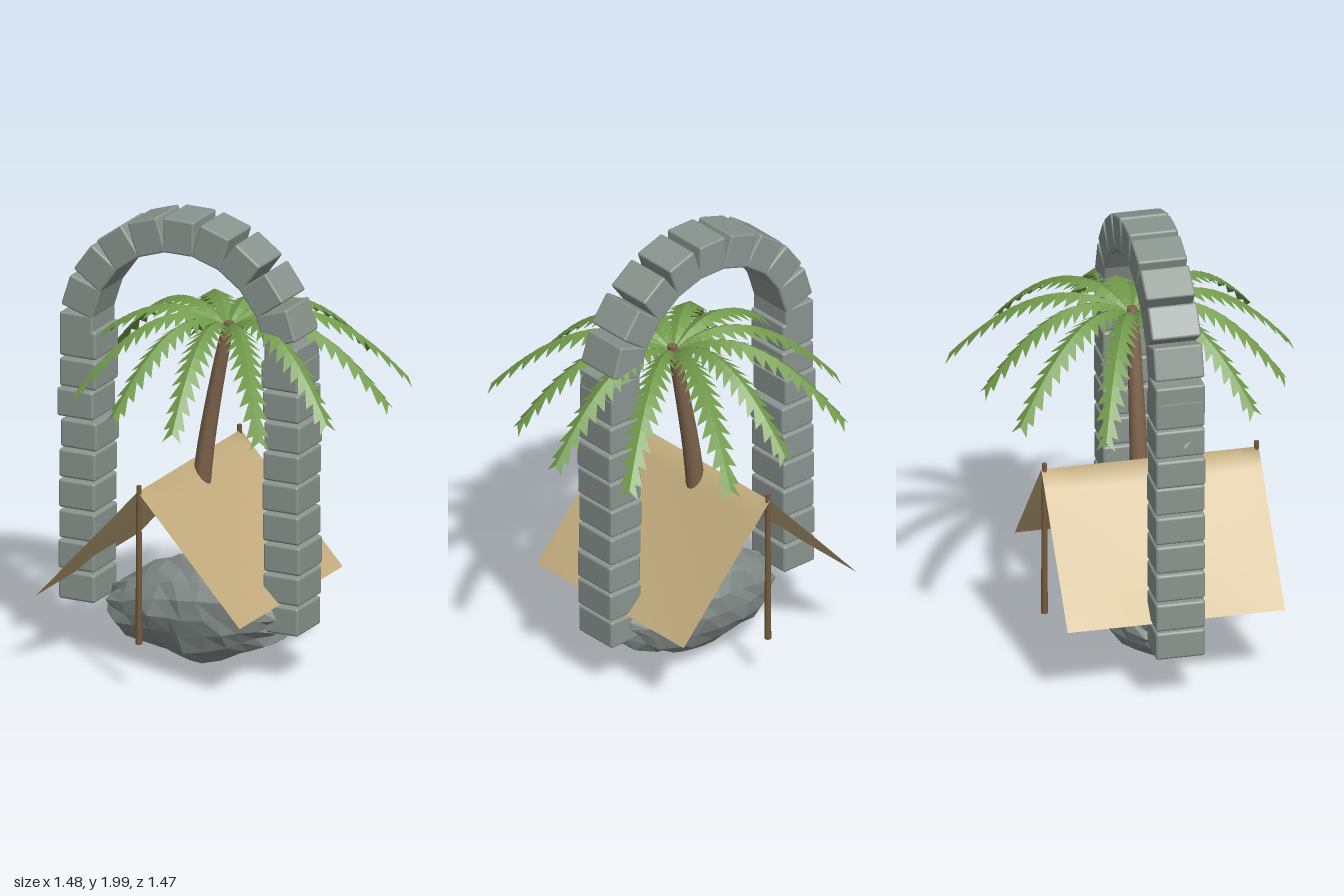
import * as THREE from 'three';
import { RoundedBoxGeometry } from 'three/addons/geometries/RoundedBoxGeometry.js';

const mat = (name, color, side = THREE.FrontSide) => {
  const m = new THREE.MeshStandardMaterial({ color, side });
  m.name = name;
  return m;
};

// Repeatable noise in -1..1
const noise = (i, j) => {
  const s = Math.sin(i * 127.1 + j * 311.7) * 43758.5453;
  return (s - Math.floor(s)) * 2 - 1;
};

function add(parent, name, geometry, material, x = 0, y = 0, z = 0) {
  const mesh = new THREE.Mesh(geometry, material);
  mesh.name = name;
  mesh.position.set(x, y, z);
  parent.add(mesh);
  return mesh;
}

function flatGeometry(points, index) {
  let g = new THREE.BufferGeometry();
  g.setAttribute('position', new THREE.Float32BufferAttribute(points, 3));
  if (index) {
    g.setIndex(index);
    g = g.toNonIndexed();
  }
  g.computeVertexNormals();
  return g;
}

// Stone arch: two stacked columns and a half ring of tilted blocks
function buildArch(stone) {
  const arch = new THREE.Group();
  arch.name = 'stoneArch';
  const z = 0.037;
  const columnBlock = new RoundedBoxGeometry(0.173, 0.126, 0.215, 2, 0.012);
  const leftX = [0.32, 0.325, 0.328, 0.323, 0.32, 0.325, 0.33, 0.323, 0.317];
  const rightX = [-0.65, -0.653, -0.648, -0.65, -0.648, -0.64, -0.658, -0.645, -0.645];
  for (let i = 0; i < 9; i++) {
    const y = 0.288 + i * 0.1356;
    add(arch, 'leftColumnBlock', columnBlock, stone, leftX[i], y, z);
    add(arch, 'rightColumnBlock', columnBlock, stone, rightX[i], y, z);
  }
  const ringBlock = new RoundedBoxGeometry(0.145, 0.155, 0.215, 2, 0.01);
  for (let i = -5; i <= 5; i++) {
    const a = (i * Math.PI) / 10;
    const block = add(arch, 'archBlock', ringBlock, stone,
      -0.165 + 0.488 * Math.sin(a), 1.433 + 0.488 * Math.cos(a), z);
    block.rotation.z = -a;
  }
  return arch;
}

// Boulder lofted along x; each section is [x, bottom, top, half depth]
function buildBoulder() {
  const sections = [
    [-0.545, 0.2, 0.23, 0.03], [-0.5, 0.14, 0.3, 0.1], [-0.42, 0.08, 0.36, 0.16],
    [-0.33, 0.06, 0.42, 0.2], [-0.25, 0.045, 0.465, 0.225], [-0.17, 0.03, 0.49, 0.235],
    [-0.09, 0.01, 0.505, 0.24], [0, 0.03, 0.51, 0.24], [0.08, 0.06, 0.505, 0.23],
    [0.16, 0.09, 0.485, 0.205], [0.23, 0.13, 0.43, 0.165], [0.285, 0.18, 0.385, 0.11],
    [0.31, 0.27, 0.35, 0.05],
  ];
  const sides = 18;
  const points = [];
  const index = [];
  sections.forEach(([x, low, high, depth], i) => {
    const inner = i > 0 && i < sections.length - 1;
    for (let j = 0; j < sides; j++) {
      const a = (j / sides) * Math.PI * 2;
      const r = 0.97 + 0.06 * noise(i, j);
      points.push(
        x + (inner ? 0.028 * noise(j + 31, i) : 0),
        Math.max(0, (low + high) / 2 + (Math.sin(a) * r * (high - low)) / 2),
        0.03 + Math.cos(a) * r * depth);
    }
  });
  const last = sections.length - 1;
  for (let i = 0; i < last; i++) {
    for (let j = 0; j < sides; j++) {
      const a = i * sides + j;
      const b = i * sides + ((j + 1) % sides);
      index.push(a, a + sides, b, b, a + sides, b + sides);
    }
  }
  // End caps
  for (let j = 1; j < sides - 1; j++) {
    index.push(0, j, j + 1);
    index.push(last * sides, last * sides + j + 1, last * sides + j);
  }
  return flatGeometry(points, index);
}

// Leaning, tapered trunk: a cylinder bent along a curve
function buildTrunk() {
  const path = new THREE.CatmullRomCurve3([
    [-0.165, 0.3], [-0.153, 0.5], [-0.112, 0.92], [-0.065, 1.2], [-0.012, 1.46], [0.005, 1.53],
  ].map(([x, y]) => new THREE.Vector3(x, y, 0)));
  const g = new THREE.CylinderGeometry(0.022, 0.05, 1, 14, 16);
  const p = g.attributes.position;
  for (let i = 0; i < p.count; i++) {
    const c = path.getPoint(THREE.MathUtils.clamp(p.getY(i) + 0.5, 0, 1));
    p.setXYZ(i, p.getX(i) + c.x, c.y, p.getZ(i));
  }
  g.computeVertexNormals();
  return g;
}

// Arched frond along +x with paired, drooping, forward-pointing leaflets
function buildFrond(length) {
  const spine = new THREE.QuadraticBezierCurve3(
    new THREE.Vector3(0, 1.5, 0),
    new THREE.Vector3(length * 0.43, 1.75, 0),
    new THREE.Vector3(length - 0.015, 1.25, 0));
  const count = 15;
  const points = [];
  for (let i = 0; i < count; i++) {
    const t = i / count;
    const a = spine.getPoint(t);
    const b = spine.getPoint(Math.min(1, (i + 1.6) / count));
    const dir = spine.getTangent(Math.min(1, (i + 1) / count));
    const width = 0.035 + 0.04 * Math.sin(Math.PI * Math.min(1, t * 0.8 + 0.2));
    const tip = spine.getPoint((i + 1) / count).addScaledVector(dir, i === count - 1 ? 0.015 : 0.04);
    tip.y -= width * 0.55;
    points.push(...a, tip.x, tip.y, width, ...b);
    points.push(...a, ...b, tip.x, tip.y, -width);
  }
  return flatGeometry(points);
}

// Canvas draped over a ridge, sagging slightly on both slopes
function buildCanvas() {
  const g = new THREE.PlaneGeometry(2, 1, 16, 8);
  const p = g.attributes.position;
  for (let i = 0; i < p.count; i++) {
    const u = p.getX(i);
    const v = p.getY(i) + 0.5;
    const sag = 0.025 * Math.sin(Math.PI * Math.abs(u)) * Math.sin(Math.PI * v);
    p.setXYZ(i, -0.166 + u * 0.486, 0.895 - Math.abs(u) * 0.537 - sag, 0.51 - v * 0.945);
  }
  g.computeVertexNormals();
  return g;
}

export function createModel() {
  const model = new THREE.Group();
  model.name = 'archPalmAndTent';
  const stone = mat('archStone', 0x8a948f);
  const rock = mat('boulderGrey', 0x838c89);
  const bark = mat('bark', 0x7d634c);
  const wood = mat('poleWood', 0x755a3e);
  const leaf = mat('palmGreen', 0x719a4a, THREE.DoubleSide);
  const cloth = mat('canvasTan', 0xc4ad7e, THREE.DoubleSide);

  model.add(buildArch(stone));
  add(model, 'boulder', buildBoulder(), rock);

  // Palm
  const palm = new THREE.Group();
  palm.name = 'palm';
  model.add(palm);
  add(palm, 'trunk', buildTrunk(), bark);
  const fronds = [
    [-67, 0.8], [-35, 0.785], [-6, 0.744], [25, 0.7], [53, 0.8], [82, 0.727],
    [111, 0.665], [142, 0.676], [173, 0.75], [-158, 0.745], [-127, 0.756], [-95, 0.673],
  ];
  for (const [degrees, length] of fronds) {
    add(palm, 'frond', buildFrond(length), leaf).rotation.y = -THREE.MathUtils.degToRad(degrees);
  }

  // Tent
  const tent = new THREE.Group();
  tent.name = 'tent';
  model.add(tent);
  add(tent, 'canvas', buildCanvas(), cloth);
  const pole = new THREE.CylinderGeometry(0.011, 0.015, 0.705, 10);
  add(tent, 'frontPole', pole, wood, -0.165, 0.568, 0.501);
  add(tent, 'backPole', pole, wood, -0.165, 0.568, -0.421);
  return model;
}
